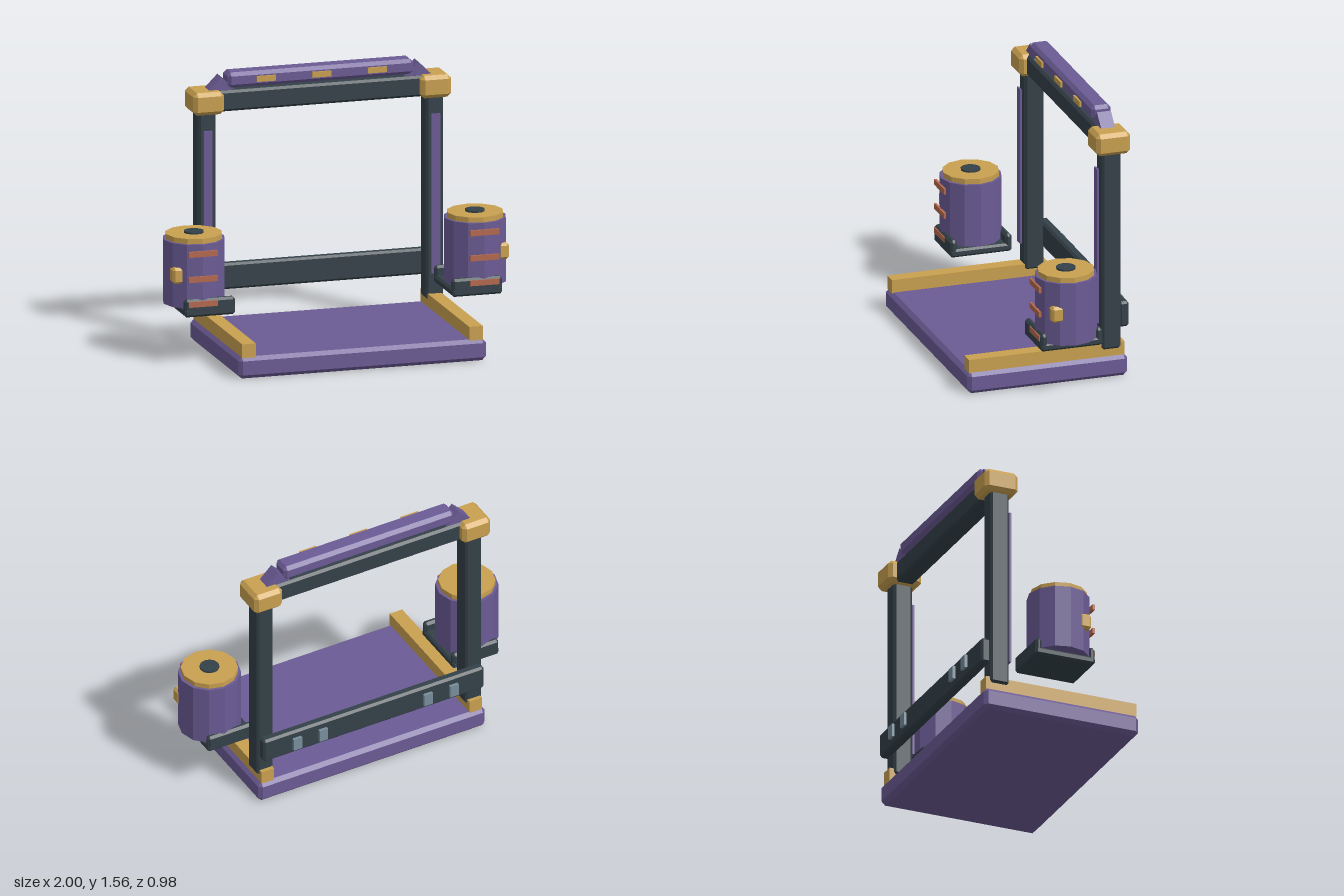
import * as THREE from 'three';
import { ConvexGeometry } from 'three/addons/geometries/ConvexGeometry.js';

function material(name, color) {
  const m = new THREE.MeshStandardMaterial({ color });
  m.name = name;
  return m;
}

// Box given by its min/max corners, with optional chamfered edges
function block(parent, name, mat, [x0, x1], [y0, y1], [z0, z1], chamfer = 0) {
  const h = [(x1 - x0) / 2, (y1 - y0) / 2, (z1 - z0) / 2];
  let geometry;
  if (chamfer > 0) {
    const points = [];
    for (const sx of [-1, 1]) for (const sy of [-1, 1]) for (const sz of [-1, 1]) {
      for (let full = 0; full < 3; full++) {
        const c = h.map((v, i) => (i === full ? v : v - chamfer));
        points.push(new THREE.Vector3(sx * c[0], sy * c[1], sz * c[2]));
      }
    }
    geometry = new ConvexGeometry(points);
  } else {
    geometry = new THREE.BoxGeometry(h[0] * 2, h[1] * 2, h[2] * 2);
  }
  const mesh = new THREE.Mesh(geometry, mat);
  mesh.name = name;
  mesh.position.set((x0 + x1) / 2, (y0 + y1) / 2, (z0 + z1) / 2);
  parent.add(mesh);
  return mesh;
}

// Upright twelve-sided drum between two heights
function drum(parent, name, mat, radius, x, y0, y1, z) {
  const geometry = new THREE.CylinderGeometry(radius, radius, y1 - y0, 12).toNonIndexed();
  geometry.computeVertexNormals();
  const mesh = new THREE.Mesh(geometry, mat);
  mesh.name = name;
  mesh.position.set(x, (y0 + y1) / 2, z);
  parent.add(mesh);
}

export function createModel() {
  const purple = material('purple', 0x6b5b95);
  const gold = material('gold', 0xc9a050);
  const charcoal = material('charcoal', 0x344148);
  const copper = material('copper', 0xb5694d);
  const slate = material('slate blue', 0x778e9c);

  const model = new THREE.Group();
  model.name = 'gantryMachine';

  // Base and cross beams
  block(model, 'base', purple, [-0.725, 0.725], [0, 0.125], [-0.455, 0.49], 0.022);
  block(model, 'topBeam', charcoal, [-0.7, 0.7], [1.34, 1.46], [-0.417, -0.302], 0.014);
  block(model, 'lowerBeam', charcoal, [-0.705, 0.705], [0.285, 0.435], [-0.468, -0.41], 0.013);

  // Bar on top with three small lamps
  block(model, 'topBar', purple, [-0.545, 0.545], [1.472, 1.56], [-0.417, -0.302], 0.02);
  for (const x of [-0.325, 0, 0.325]) {
    block(model, 'barLamp', gold, [x - 0.055, x + 0.055], [1.503, 1.535], [-0.295, -0.283]);
  }

  // Small plates on the back of the lower beam
  for (const x of [-0.5, -0.335, 0.335, 0.5]) {
    block(model, 'rearPlate', slate, [x - 0.027, x + 0.027], [0.322, 0.398], [-0.493, -0.476]);
  }

  for (const side of [-1, 1]) {
    const half = new THREE.Group();
    half.name = side > 0 ? 'leftSide' : 'rightSide';
    model.add(half);
    const span = (a, b) => (side > 0 ? [a, b] : [-b, -a]);

    // Rail, post, post strip and corner joint
    block(half, 'rail', gold, span(0.625, 0.705), [0.12, 0.2], [-0.44, 0.48]);
    block(half, 'post', charcoal, span(0.615, 0.718), [0.165, 1.4], [-0.417, -0.302], 0.014);
    block(half, 'postStrip', purple, span(0.641, 0.693), [0.32, 1.24], [-0.293, -0.281]);
    block(half, 'cornerJoint', gold, span(0.575, 0.755), [1.335, 1.465], [-0.463, -0.26], 0.022);

    // Slanted brace beside the top bar
    const brace = block(half, 'brace', purple, span(0.522, 0.632), [1.405, 1.515], [-0.402, -0.32]);
    brace.rotation.z = Math.PI / 4;

    // Tray with raised front and back lips
    block(half, 'tray', charcoal, span(0.635, 0.93), [0.283, 0.33], [-0.235, 0.13], 0.012);
    block(half, 'trayFrontLip', charcoal, span(0.635, 0.93), [0.285, 0.385], [0.088, 0.13], 0.014);
    block(half, 'trayBackLip', charcoal, span(0.635, 0.93), [0.285, 0.385], [-0.235, -0.195], 0.014);

    // Canister with lid, cap, bands and latch
    const x = side * 0.823, z = -0.052;
    drum(half, 'canister', purple, 0.177, x, 0.328, 0.697, z);
    drum(half, 'canisterLid', gold, 0.161, x, 0.69, 0.727, z);
    drum(half, 'lidCap', charcoal, 0.056, x, 0.72, 0.737, z);
    for (const y of [0.357, 0.5, 0.645]) {
      block(half, 'canisterBand', copper, [x - 0.085, x + 0.085], [y - 0.016, y + 0.016], [0.121, 0.135]);
    }
    block(half, 'canisterLatch', gold, span(0.92, 0.985), [0.467, 0.56], [0.01, 0.084], 0.014);
  }
  return model;
}
